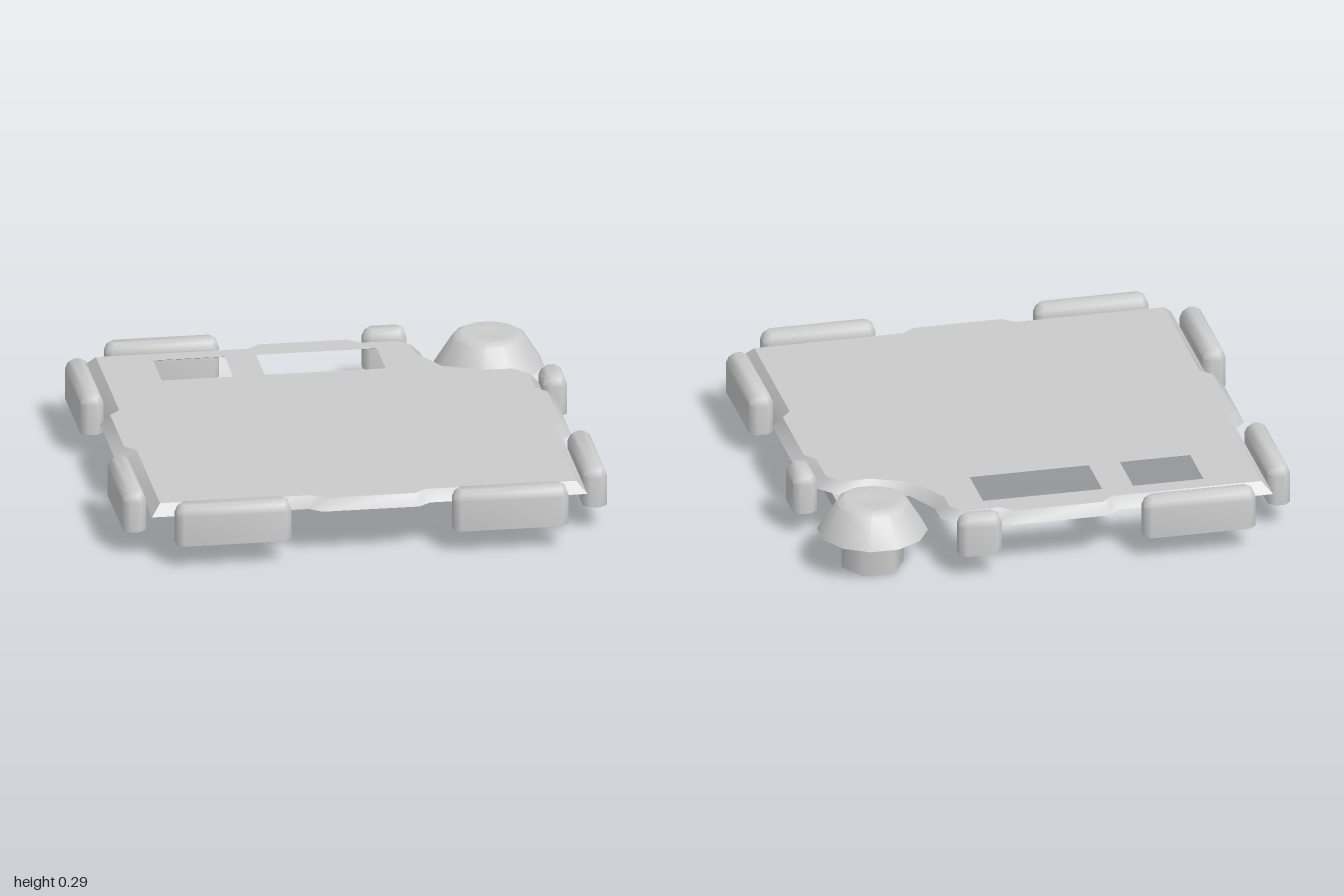
import * as THREE from 'three';
import { toCreasedNormals } from 'three/addons/utils/BufferGeometryUtils.js';

const material = new THREE.MeshStandardMaterial({ color: 0xcccccc, side: THREE.DoubleSide });

function addMesh(parent, name, geometry) {
  const mesh = new THREE.Mesh(geometry, material);
  mesh.name = name;
  parent.add(mesh);
  return mesh;
}

// Skin a stack of rings (bottom to top, counter-clockwise from above), with optional end caps.
function loft(rings, capTop, capBottom, crease = 0.7) {
  const pos = [];
  const tri = (...pts) => pts.forEach((p) => pos.push(p.x, p.y, p.z));
  const n = rings[0].length;
  for (let r = 0; r < rings.length - 1; r++) {
    for (let i = 0; i < n; i++) {
      const j = (i + 1) % n, lo = rings[r], hi = rings[r + 1];
      tri(lo[i], lo[j], hi[j]);
      tri(lo[i], hi[j], hi[i]);
    }
  }
  const top = rings[rings.length - 1], bottom = rings[0];
  for (let i = 1; i < n - 1; i++) {
    if (capTop) tri(top[0], top[i], top[i + 1]);
    if (capBottom) tri(bottom[0], bottom[i + 1], bottom[i]);
  }
  const geometry = new THREE.BufferGeometry();
  geometry.setAttribute('position', new THREE.Float32BufferAttribute(pos, 3));
  return toCreasedNormals(geometry, crease);
}

// Rectangle ring with cut corners at height y.
function cutRect(x0, x1, z0, z1, y, inset, cut) {
  const a = x0 + inset, b = x1 - inset, c = z0 + inset, d = z1 - inset;
  return [
    [b - cut, d], [b, d - cut], [b, c + cut], [b - cut, c],
    [a + cut, c], [a, c + cut], [a, d - cut], [a + cut, d],
  ].map(([x, z]) => new THREE.Vector3(x, y, z));
}

// Move every corner of a counter-clockwise outline inward by d (points are x, -z).
function insetOutline(points, d) {
  const n = points.length;
  return points.map((p, i) => {
    const e1 = p.clone().sub(points[(i + n - 1) % n]).normalize();
    const e2 = points[(i + 1) % n].clone().sub(p).normalize();
    const n1 = new THREE.Vector2(-e1.y, e1.x), n2 = new THREE.Vector2(-e2.y, e2.x);
    return n1.clone().add(n2).multiplyScalar(d / (1 + n1.dot(n2))).add(p);
  });
}

function makeDeck() {
  const deck = new THREE.Group();
  deck.name = 'deck';
  // Outline with a shallow lobe on each side and a bite out of the back left corner.
  const outline = [
    [-0.9, -0.9], [-0.25, -0.9], [-0.2, -0.945], [0.2, -0.945], [0.25, -0.9],
    [0.4, -0.9], [0.475, -0.82], [0.475, -0.72], [0.55, -0.575], [0.7, -0.51],
    [0.82, -0.51], [0.9, -0.42], [0.9, -0.25], [0.94, -0.2], [0.94, 0.2],
    [0.9, 0.25], [0.9, 0.9], [0.25, 0.9], [0.2, 0.94], [-0.2, 0.94],
    [-0.25, 0.9], [-0.9, 0.9], [-0.9, 0.25], [-0.945, 0.2], [-0.945, -0.2], [-0.9, -0.25],
  ].reverse().map(([x, z]) => new THREE.Vector2(x, -z));
  const inner = insetOutline(outline, 0.04);

  // Flat top with two rectangular openings
  const shape = new THREE.Shape(inner);
  for (const [x0, x1] of [[-0.635, -0.34], [-0.21, 0.29]]) {
    shape.holes.push(new THREE.Path([
      new THREE.Vector2(x0, 0.55), new THREE.Vector2(x0, 0.785),
      new THREE.Vector2(x1, 0.785), new THREE.Vector2(x1, 0.55),
    ]));
  }
  const top = new THREE.ShapeGeometry(shape).rotateX(-Math.PI / 2).translate(0, 0.242, 0);
  addMesh(deck, 'deckTop', top);

  // Sloping rim
  const ring = (pts, y) => pts.map((p) => new THREE.Vector3(p.x, y, -p.y));
  addMesh(deck, 'deckRim', loft([ring(outline, 0.197), ring(inner, 0.242)], false, false));
  return deck;
}

function makeBumpers() {
  const bumpers = new THREE.Group();
  bumpers.name = 'bumpers';
  const spots = [
    ['backBumperRight', -0.81, -0.34, -1, -0.905],
    ['backBumperLeft', 0.255, 0.435, -1, -0.905],
    ['rightBumperBack', -1, -0.905, -0.81, -0.34],
    ['rightBumperFront', -1, -0.905, 0.335, 0.805],
    ['leftBumperBack', 0.9, 1, -0.445, -0.265],
    ['leftBumperFront', 0.9, 1, 0.335, 0.805],
    ['frontBumperRight', -0.81, -0.335, 0.9, 1],
    ['frontBumperLeft', 0.335, 0.81, 0.9, 1],
  ];
  // Height, inset and corner cut of each ring
  const levels = [[0.1, 0, 0.028], [0.23, 0, 0.028], [0.257, 0.01, 0.023], [0.27, 0.025, 0.014]];
  for (const [name, x0, x1, z0, z1] of spots) {
    const rings = levels.map(([y, inset, cut]) => cutRect(x0, x1, z0, z1, y, inset, cut));
    addMesh(bumpers, name, loft(rings, true, true, 0.85));
  }
  return bumpers;
}

function makeCornerPost() {
  const post = new THREE.Group();
  post.name = 'cornerPost';
  // Six-sided leg
  const leg = new THREE.CylinderGeometry(0.13, 0.13, 0.26, 6).rotateY(Math.PI / 6);
  addMesh(post, 'postLeg', leg).position.y = 0.13;
  // Hollow twelve-sided cap with a slightly dished top
  const profile = [[0.227, 0.158], [0.15, 0.28], [0.122, 0.295], [0.06, 0.289], [0, 0.287]]
    .map(([r, y]) => new THREE.Vector2(r, y));
  const cap = new THREE.LatheGeometry(profile, 12).rotateY(Math.PI / 12);
  addMesh(post, 'postCap', toCreasedNormals(cap, 0.6));
  post.position.set(0.75, 0, -0.767);
  return post;
}

export function createModel() {
  const model = new THREE.Group();
  model.name = 'dockPlatform';
  model.add(makeDeck(), makeBumpers(), makeCornerPost());

  // Arm tying the post to the deck, open underneath
  const corners = [[0.83, -0.18], [0.83, -0.68], [0.685, -0.68], [0.685, -0.18]];
  const armRing = (y) => corners.map(([x, z]) => new THREE.Vector3(x, y, z));
  addMesh(model, 'postArm', loft([armRing(0.1), armRing(0.155)], true, false));
  return model;
}
